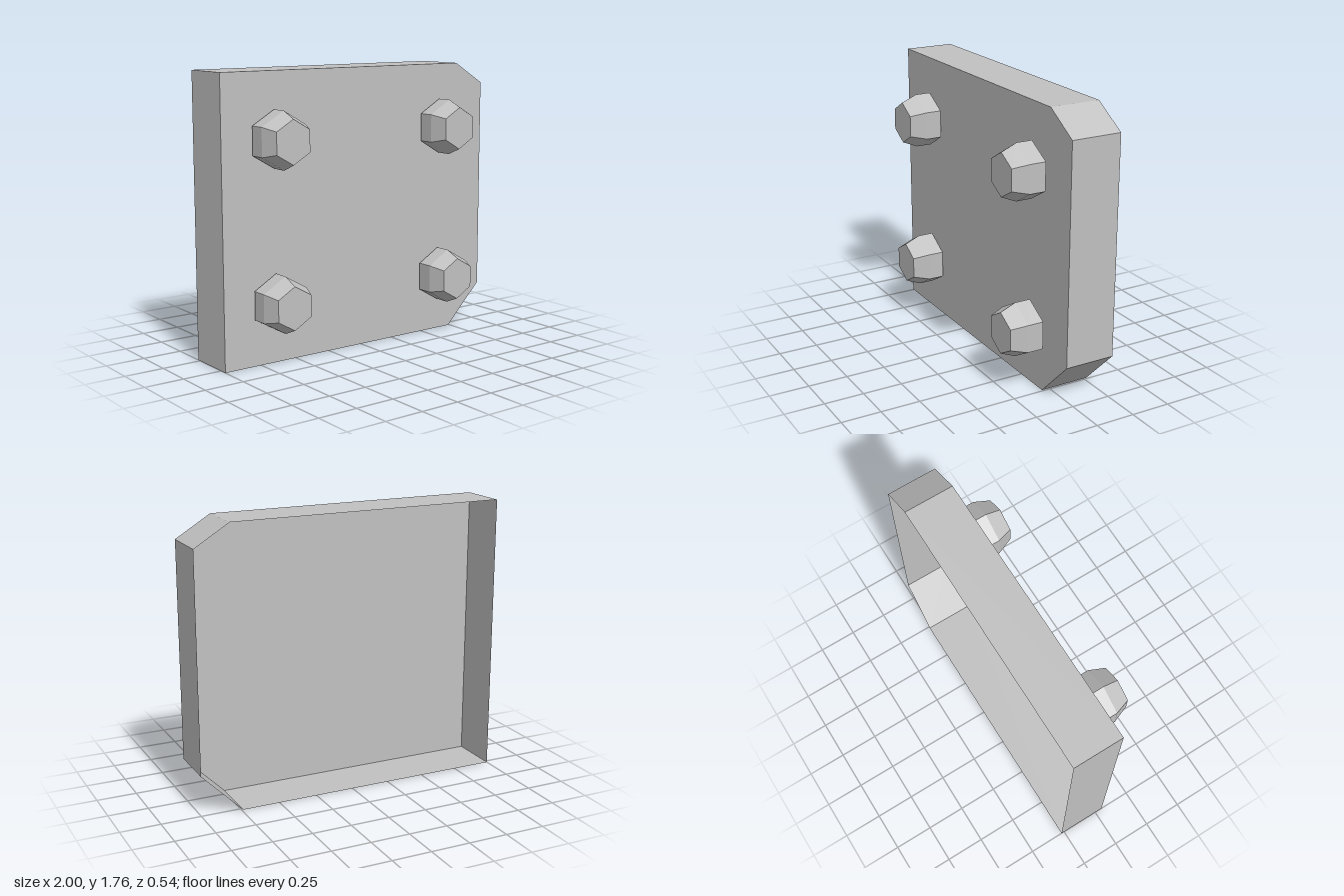
import * as THREE from 'three';

const FRONT = 0.05, BACK = -0.27;

// Plate outline, counter-clockwise seen from the front, with two cut corners
const outline = [[-1, 0], [0.74, 0], [1, 0.26], [1, 1.625], [0.78, 1.76], [-1, 1.76]]
  .map(([x, y]) => new THREE.Vector2(x, y));

// Thin side walls following the outline, open at the back
function wallGeometry() {
  const pos = [];
  outline.forEach((a, i) => {
    const b = outline[(i + 1) % outline.length];
    pos.push(a.x, a.y, BACK, b.x, b.y, BACK, b.x, b.y, FRONT);
    pos.push(a.x, a.y, BACK, b.x, b.y, FRONT, a.x, a.y, FRONT);
  });
  const geo = new THREE.BufferGeometry();
  geo.setAttribute('position', new THREE.Float32BufferAttribute(pos, 3));
  geo.computeVertexNormals();
  return geo;
}

export function createModel() {
  const group = new THREE.Group();
  group.name = 'boltedPlate';
  const grey = new THREE.MeshStandardMaterial({ color: 0xc0c0c0, flatShading: true, side: THREE.DoubleSide });
  grey.name = 'grey metal';

  const add = (name, geo) => {
    const mesh = new THREE.Mesh(geo, grey);
    mesh.name = name;
    group.add(mesh);
    return mesh;
  };

  // Front panel and its walls
  add('frontPanel', new THREE.ShapeGeometry(new THREE.Shape(outline))).position.z = FRONT;
  add('sideWalls', wallGeometry());

  // Hexagonal bolt heads with a tapered front
  const profile = [[0.175, 0], [0.175, 0.1], [0.133, 0.2], [0, 0.2]]
    .map(([r, h]) => new THREE.Vector2(r, h));
  const bolt = new THREE.LatheGeometry(profile, 6).rotateX(Math.PI / 2);
  for (const x of [-0.65, 0.62])
    for (const y of [0.38, 1.36])
      add('boltHead', bolt).position.set(x, y, 0.07);

  return group;
}
